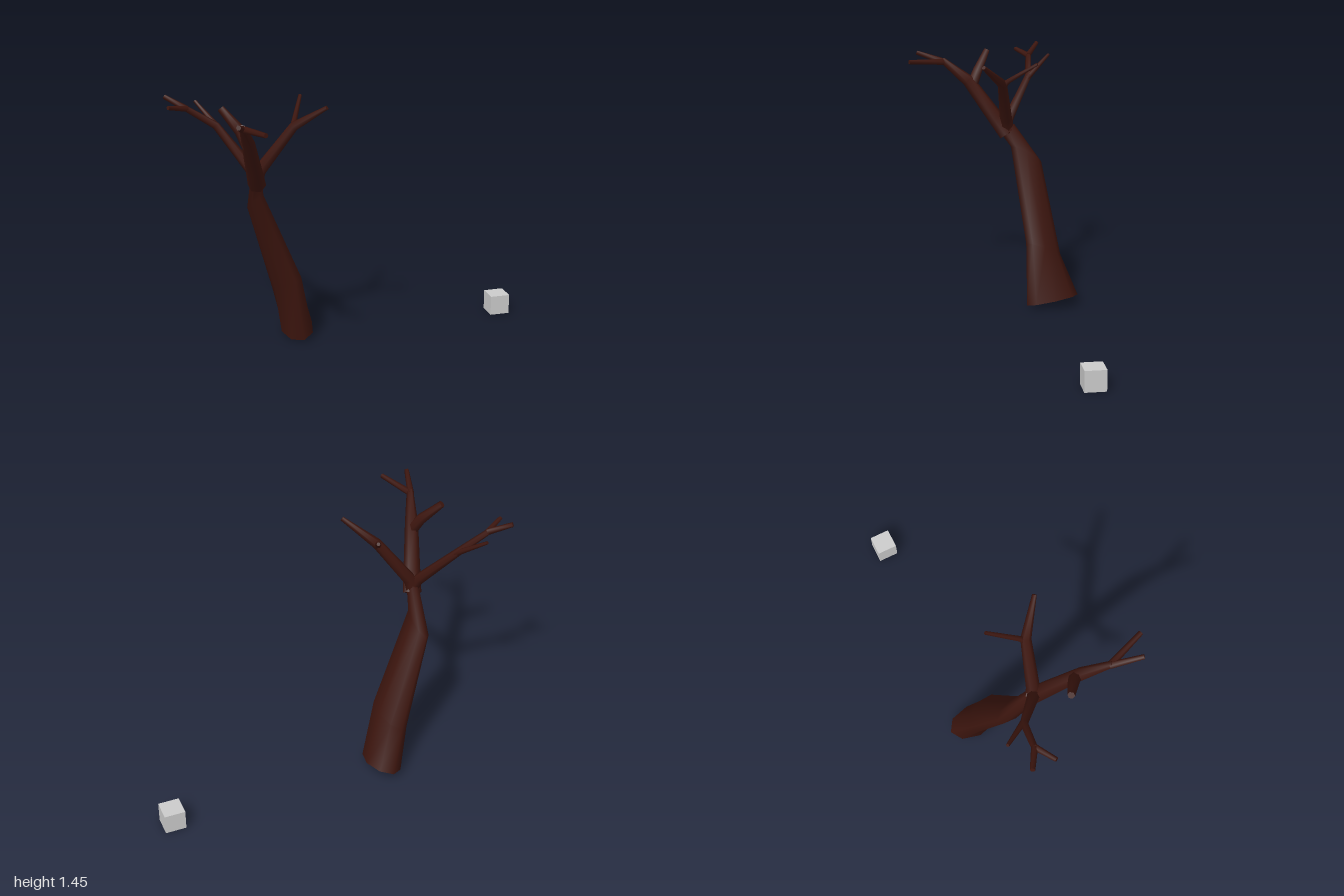
import * as THREE from 'three';

const bark = new THREE.MeshStandardMaterial({ color: 0x3c150e });
const grey = new THREE.MeshStandardMaterial({ color: 0xcccccc });

// Skin a list of rings (each running counter-clockwise about the growth direction) and cap both ends
function loft(name, rings) {
  const n = rings[0].length, pos = [], idx = [];
  const add = (p) => pos.push(p.x, p.y, p.z) / 3 - 1;
  rings.forEach((r) => r.forEach(add));
  for (let i = 0; i < rings.length - 1; i++) {
    for (let j = 0; j < n; j++) {
      const k = (j + 1) % n, a = i * n + j, b = i * n + k;
      idx.push(a, b, b + n, a, b + n, a + n);
    }
  }
  [rings[0].slice().reverse(), rings[rings.length - 1]].forEach((ring) => {
    const first = pos.length / 3;
    ring.forEach(add);
    for (let j = 1; j < n - 1; j++) idx.push(first, first + j, first + j + 1);
  });
  const geo = new THREE.BufferGeometry();
  geo.setAttribute('position', new THREE.Float32BufferAttribute(pos, 3));
  geo.setIndex(idx);
  geo.computeVertexNormals();
  const mesh = new THREE.Mesh(geo, bark);
  mesh.name = name;
  return mesh;
}

// Oval trunk ring: half widths, slopes of its plane along x and z, sideways skew
function trunkRing([x, y, z, rx, rz, slopeX, slopeZ, skew], sides = 8) {
  return Array.from({ length: sides }, (_, j) => {
    const t = (j / sides) * Math.PI * 2;
    const dz = -Math.sin(t) * rz, dx = Math.cos(t) * rx + dz * skew;
    return new THREE.Vector3(x + dx, y + dx * slopeX + dz * slopeZ, z + dz);
  });
}

// Tapered branch through points [x, y, z, radius]
function branch(name, pts, sides = 6) {
  const v = pts.map((p) => new THREE.Vector3(p[0], p[1], p[2]));
  const rings = v.map((p, i) => {
    const before = v[Math.max(i - 1, 0)], after = v[Math.min(i + 1, v.length - 1)];
    const dir = after.clone().sub(before).normalize();
    const u = new THREE.Vector3(0, 1, 0).cross(dir).normalize();
    const w = dir.clone().cross(u);
    return Array.from({ length: sides }, (_, j) => {
      const t = (j / sides) * Math.PI * 2;
      return p.clone().addScaledVector(u, Math.cos(t) * pts[i][3]).addScaledVector(w, Math.sin(t) * pts[i][3]);
    });
  });
  return loft(name, rings);
}

export function createModel() {
  const model = new THREE.Group();
  const tree = new THREE.Group();
  tree.name = 'bareTree';
  model.add(tree);

  // Leaning trunk, flared at the foot
  tree.add(loft('trunk', [
    [-0.29, 0.037, -0.32, 0.09, 0.15, 0.22, -0.18, 0.05],
    [-0.355, 0.33, -0.275, 0.07, 0.105, 0.4, 0.33, 0.25],
    [-0.54, 0.855, -0.2, 0.042, 0.09, 0.6, 0.5, 0.05],
    [-0.557, 1.04, -0.07, 0.031, 0.062, 0.4, 0.15, -0.1],
  ].map((r) => trunkRing(r))));

  // Main limbs and the twigs they split into
  const limbs = {
    frontLimb: [[-0.55, 0.98, -0.09, 0.05], [-0.575, 1.07, -0.025, 0.046], [-0.635, 1.28, 0.125, 0.036], [-0.69, 1.395, 0.27, 0.018]],
    frontTwigA: [[-0.688, 1.385, 0.255, 0.019], [-0.737, 1.435, 0.415, 0.013]],
    frontTwigB: [[-0.688, 1.385, 0.255, 0.019], [-0.612, 1.4, 0.468, 0.013]],
    frontSideTwig: [[-0.63, 1.25, 0.105, 0.034], [-0.665, 1.33, 0.07, 0.03], [-0.75, 1.437, 0.005, 0.019]],
    leftwardLimb: [[-0.55, 1.0, -0.08, 0.036], [-0.58, 1.07, -0.105, 0.031], [-0.735, 1.285, -0.24, 0.021], [-0.9, 1.39, -0.265, 0.016]],
    leftwardTwigA: [[-0.885, 1.382, -0.262, 0.017], [-0.993, 1.44, -0.33, 0.013]],
    leftwardTwigB: [[-0.885, 1.382, -0.262, 0.017], [-0.993, 1.408, -0.2, 0.012]],
    leftwardSideTwig: [[-0.72, 1.27, -0.23, 0.017], [-0.823, 1.395, -0.375, 0.009]],
    rightwardLimb: [[-0.555, 1.0, -0.09, 0.042], [-0.53, 1.07, -0.08, 0.036], [-0.355, 1.305, -0.035, 0.028], [-0.205, 1.425, 0.088, 0.012]],
    rightwardSideTwig: [[-0.36, 1.29, -0.035, 0.022], [-0.345, 1.325, -0.07, 0.015], [-0.275, 1.427, -0.22, 0.01]],
  };
  for (const [name, pts] of Object.entries(limbs)) tree.add(branch(name, pts));

  // Small block lying on the ground beside the tree
  const block = new THREE.Mesh(new THREE.BoxGeometry(0.115, 0.115, 0.115), grey);
  block.name = 'block';
  block.position.set(0.942, 0.0575, -0.315);
  model.add(block);
  return model;
}
